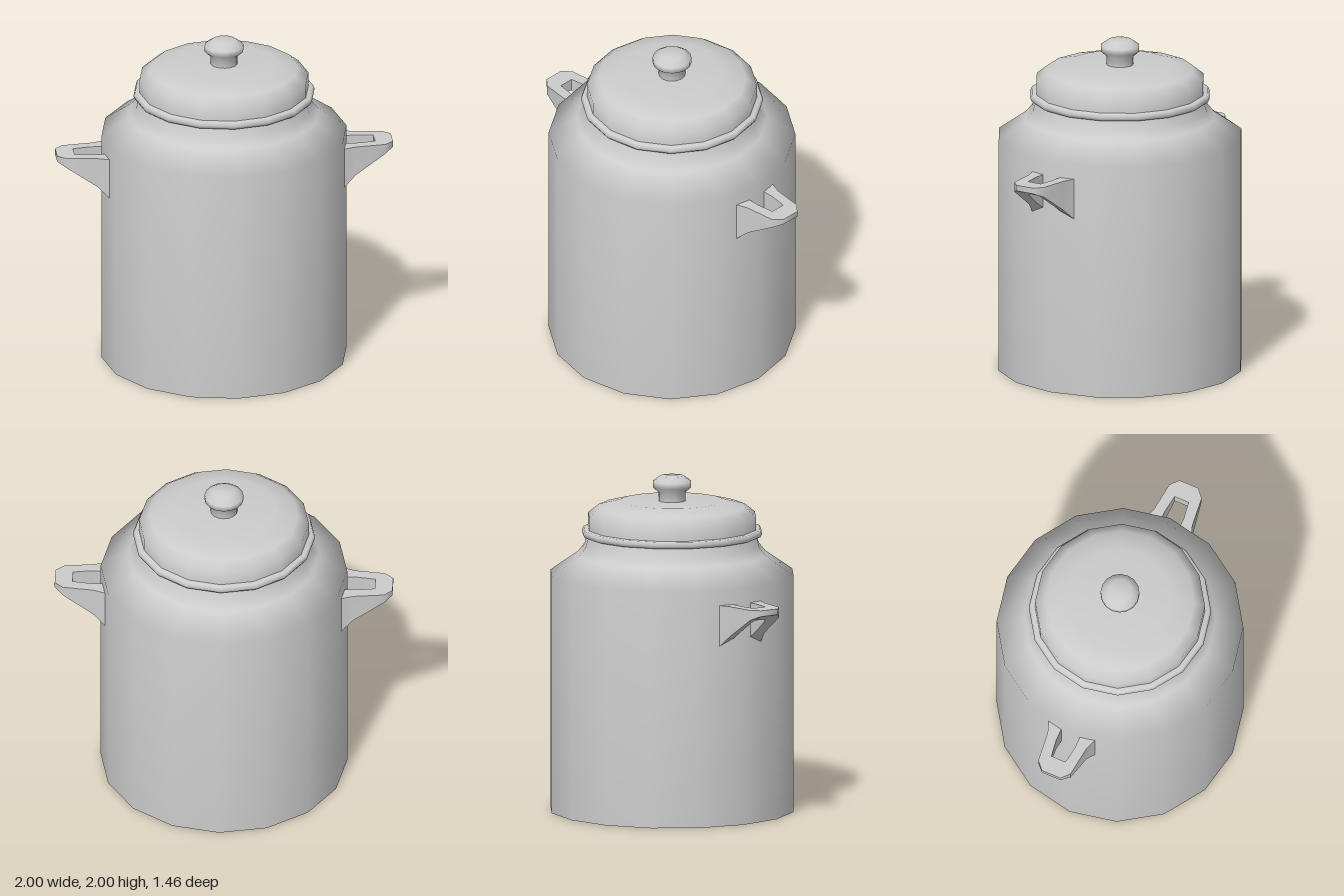
import * as THREE from 'three';
import { toCreasedNormals } from 'three/addons/utils/BufferGeometryUtils.js';

const SIDES = 16;

// Smooth turned part from [radius, height] pairs, listed bottom to top on the outside
function turned(name, profile, material) {
  const points = profile.map(([r, y]) => new THREE.Vector2(r, y));
  const mesh = new THREE.Mesh(new THREE.LatheGeometry(points, SIDES), material);
  mesh.name = name;
  return mesh;
}

// Loop handle: four-cornered sections swept from one wall root, round the tip, to the other
function handleGeometry() {
  const top = 1.325;
  // outer x, outer z, outer bottom y, inner x, inner z, inner bottom y
  const half = [
    [0.70, 0.15, 1.08, 0.70, 0.06, 1.11],
    [0.77, 0.125, 1.145, 0.79, 0.06, 1.17],
    [0.95, 0.105, 1.265, 0.895, 0.045, 1.245],
    [1.0, 0.06, 1.29, 0.895, 0.03, 1.25],
  ];
  const mirrored = half.map(([ox, oz, oy, ix, iz, iy]) => [ox, -oz, oy, ix, -iz, iy]).reverse();
  const sections = [...half, ...mirrored];
  const positions = [];
  for (const [ox, oz, oy, ix, iz, iy] of sections) {
    positions.push(ox, top, oz, ix, top, iz, ix, iy, iz, ox, oy, oz);
  }
  const index = [];
  for (let i = 0; i < sections.length - 1; i++) {
    for (let j = 0; j < 4; j++) {
      const k = (j + 1) % 4;
      const a = i * 4, b = a + 4;
      index.push(a + j, b + j, b + k, a + j, b + k, a + k);
    }
  }
  const geometry = new THREE.BufferGeometry();
  geometry.setAttribute('position', new THREE.Float32BufferAttribute(positions, 3));
  geometry.setIndex(index);
  return toCreasedNormals(geometry, Math.PI / 3);
}

export function createModel() {
  const model = new THREE.Group();
  model.name = 'lidded pot';
  const metal = new THREE.MeshStandardMaterial({ color: 0xcccccc, side: THREE.DoubleSide });
  metal.name = 'grey metal';

  // Open-bottomed shell with sloping shoulder and neck
  model.add(turned('body', [
    [0.73, 0], [0.73, 1.415], [0.565, 1.53], [0.525, 1.58], [0.505, 1.65],
  ], metal));

  // Rolled rim under the lid
  model.add(turned('rim', [
    [0.49, 1.64], [0.53, 1.642], [0.54, 1.662], [0.53, 1.682], [0.49, 1.684],
  ], metal));

  // Domed lid
  model.add(turned('lid', [
    [0.503, 1.66], [0.503, 1.765], [0.44, 1.815], [0.31, 1.848], [0, 1.848],
  ], metal));

  // Lid knob
  model.add(turned('knob', [
    [0.08, 1.84], [0.08, 1.9], [0.115, 1.93], [0.115, 1.965], [0.07, 1.997], [0, 2],
  ], metal));

  // Pair of side handles
  const handle = handleGeometry();
  for (const [name, angle] of [['leftHandle', 0], ['rightHandle', Math.PI]]) {
    const mesh = new THREE.Mesh(handle, metal);
    mesh.name = name;
    mesh.rotation.y = angle;
    model.add(mesh);
  }
  return model;
}
